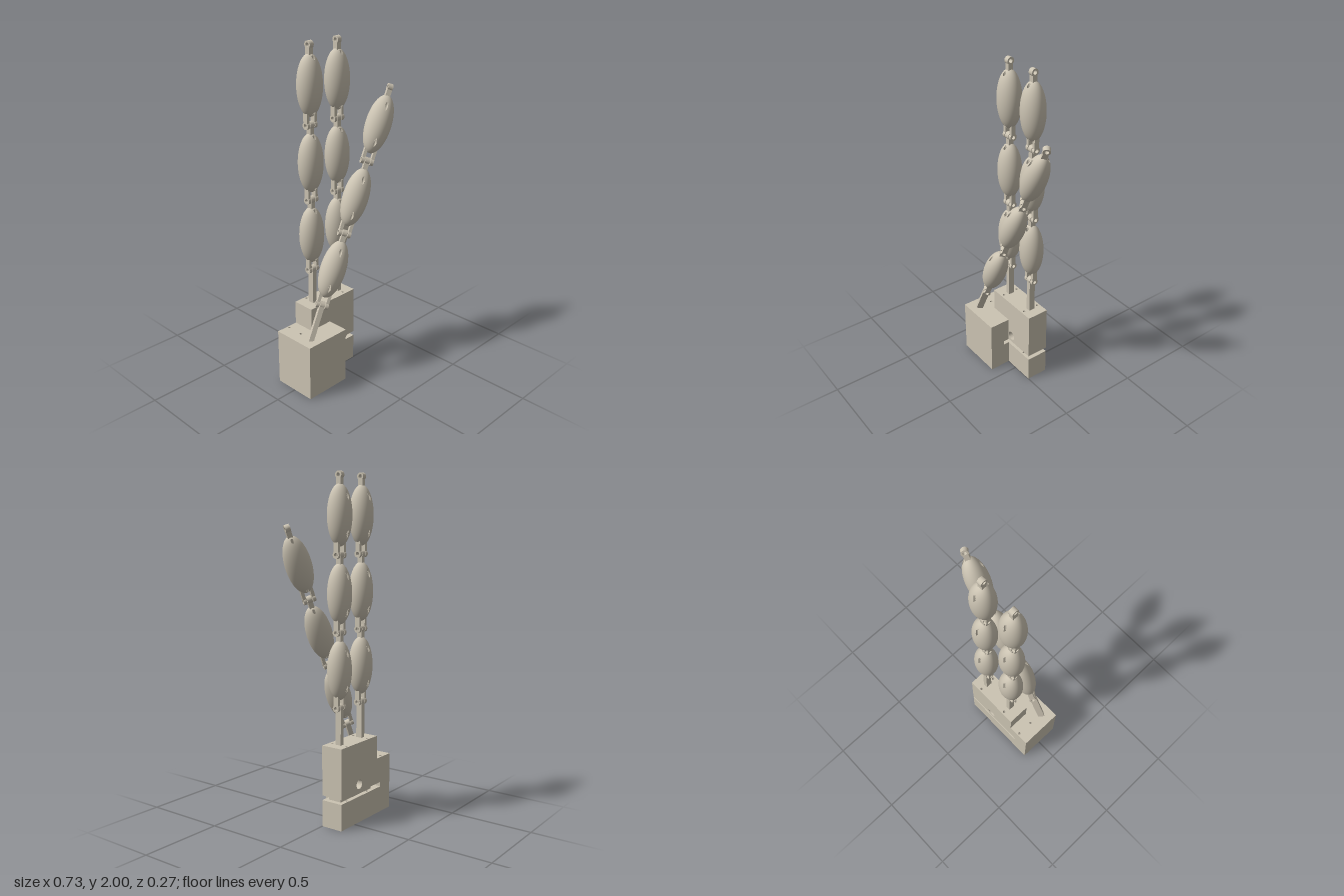
import * as THREE from 'three';

const putty = new THREE.MeshStandardMaterial({ color: 0xcbc3b2, side: THREE.DoubleSide });
putty.name = 'putty';

const PITCH = 0.428;                    // pivot to pivot
const A = 0.074, B = 0.067, C = 0.169;  // phalanx half sizes in x, z, y
const R = 0.021, PIN = 0.011, CORD = 0.008;
const CORD_Z = [-0.051, 0.031];         // cord channels through a phalanx

function mesh(geometry, name, parent) {
  const m = new THREE.Mesh(geometry, putty);
  m.name = name;
  parent.add(m);
  return m;
}

// Height of the phalanx surface above its middle
const surfaceY = (x, z) => C * Math.sqrt(Math.max(0, 1 - (x / A) ** 2 - (z / B) ** 2));

// Ellipsoid whose vertices are pushed aside to open the cord channels
function podGeometry() {
  const g = new THREE.SphereGeometry(1, 80, 56);
  const p = g.attributes.position, n = g.attributes.normal;
  const v = new THREE.Vector3();
  for (let i = 0; i < p.count; i++) {
    let x = p.getX(i) * A, y = p.getY(i) * C, z = p.getZ(i) * B;
    for (const cz of CORD_Z) {
      const d = Math.hypot(x, z - cz);
      if (d < 2 * CORD) {
        const k = (CORD + d / 2) / Math.max(d, 1e-6);
        x *= k;
        z = cz + (z - cz) * k;
        y = Math.sign(y) * surfaceY(x, z);
      }
    }
    p.setXYZ(i, x, y, z);
    v.set(x / A ** 2, y / C ** 2, z / B ** 2).normalize();
    n.setXYZ(i, v.x, v.y, v.z);
  }
  const old = g.index.array, kept = [];
  for (let i = 0; i < old.length; i += 3) {
    const t = [old[i], old[i + 1], old[i + 2]];
    const x = t.reduce((s, j) => s + p.getX(j), 0) / 3;
    const z = t.reduce((s, j) => s + p.getZ(j), 0) / 3;
    if (CORD_Z.every(cz => Math.hypot(x, z - cz) > CORD * 0.85)) kept.push(...t);
  }
  g.setIndex(kept);
  return g;
}

// Channel wall, trimmed to the phalanx surface
function channelGeometry(cz) {
  const g = new THREE.CylinderGeometry(CORD, CORD, 1, 20, 1, true).translate(0, 0, cz);
  const p = g.attributes.position;
  for (let i = 0; i < p.count; i++) {
    p.setY(i, Math.sign(p.getY(i)) * surfaceY(p.getX(i), p.getZ(i)));
  }
  return g;
}

// Bar hanging below a drilled round end; the pin axis runs along x
function eyeBar(length, halfWidth, thickness) {
  const a = Math.acos(halfWidth / R);
  const s = new THREE.Shape();
  s.moveTo(-halfWidth, -length);
  s.lineTo(halfWidth, -length);
  s.absarc(0, 0, R, -a, Math.PI + a, false);
  s.closePath();
  s.holes.push(new THREE.Path().absarc(0, 0, PIN, 0, Math.PI * 2, true));
  return new THREE.ExtrudeGeometry(s, { depth: thickness, bevelEnabled: false, curveSegments: 20 })
    .translate(0, 0, -thickness / 2).rotateY(Math.PI / 2);
}

const pod = podGeometry();
const channels = CORD_Z.map(channelGeometry);
const lug = eyeBar(0.09, 0.015, 0.028);
const prong = eyeBar(0.1, 0.015, 0.018).rotateX(Math.PI);

// Finger with its first pivot at the origin, pointing up
function makeFinger(name, stemLength) {
  const finger = new THREE.Group();
  finger.name = name;
  mesh(eyeBar(stemLength, 0.019, 0.028), 'stem', finger);
  for (let i = 0; i < 3; i++) {
    const phalanx = new THREE.Group();
    phalanx.name = 'phalanx' + (i + 1);
    phalanx.position.y = i * PITCH;
    mesh(pod, 'pod', phalanx).position.y = PITCH / 2;
    for (const c of channels) mesh(c, 'cordChannel', phalanx).position.y = PITCH / 2;
    for (const side of [-1, 1]) mesh(prong, 'forkProng', phalanx).position.x = side * 0.027;
    mesh(lug, 'lug', phalanx).position.y = PITCH;
    finger.add(phalanx);
  }
  return finger;
}

// Horizontal slab from an x,z outline with vertical cord holes
function slab(outline, y0, y1, holes, name, parent) {
  const s = new THREE.Shape(outline.map(([x, z]) => new THREE.Vector2(x, -z)));
  for (const [x, z] of holes) {
    s.holes.push(new THREE.Path().absarc(x, -z, CORD, 0, Math.PI * 2, true));
  }
  const g = new THREE.ExtrudeGeometry(s, { depth: y1 - y0, bevelEnabled: false, curveSegments: 10 });
  mesh(g.rotateX(-Math.PI / 2).translate(0, y0, 0), name, parent);
}
const rect = (x0, x1, z0, z1) => [[x0, z0], [x1, z0], [x1, z1], [x0, z1]];

function makeBase() {
  const base = new THREE.Group();
  base.name = 'base';
  const L = -0.365, M = -0.075, E = 0.13, back = -0.135, front = 0.132;
  const slot0 = 0.157, slot1 = 0.185, step = 0.34, top = 0.48;
  const thumbHoles = [[-0.29, -0.119], [-0.29, -0.02]];
  const holes1 = [[-0.148, -0.119], [-0.148, -0.02]];
  const holes2 = [[0.057, -0.119], [0.057, -0.02]];

  slab([[L, back], [E, back], [E, 0], [M, 0], [M, front], [L, front]],
    0, slot0, [...thumbHoles, ...holes1, ...holes2], 'lowerBlock', base);
  // Layer around the slot
  slab([[L, back], [-0.265, back], [-0.265, 0.037], [M, 0.037], [M, front], [L, front]],
    slot0, slot1, thumbHoles, 'slotWall', base);
  slab(rect(-0.2, 0.1, -0.108, -0.025), slot0, slot1, [], 'slotInsert', base);
  slab(rect(L, M, back, front), slot1, step, [...thumbHoles, ...holes1], 'thumbBlock', base);
  slab(rect(0, E, back, 0), slot1, step, holes2, 'sideBlock', base);
  slab(rect(-0.225, E, back, 0), step, top, [...holes1, ...holes2], 'upperBlock', base);

  // Middle piece with the round cross hole
  const s = new THREE.Shape([[M, slot1], [0, slot1], [0, step], [M, step]]
    .map(([x, y]) => new THREE.Vector2(x, y)));
  s.holes.push(new THREE.Path().absarc(-0.046, 0.23, 0.028, 0, Math.PI * 2, true));
  mesh(new THREE.ExtrudeGeometry(s, { depth: -back, bevelEnabled: false, curveSegments: 24 })
    .translate(0, 0, back), 'crossHoleBlock', base);
  return base;
}

export function createModel() {
  const model = new THREE.Group();
  model.name = 'roboticHand';
  model.add(makeBase());

  // Two upright fingers
  [-0.148, 0.057].forEach((x, i) => {
    const f = makeFinger('finger' + (i + 1), 0.23);
    f.position.set(x, 0.695, -0.068);
    model.add(f);
  });

  // Leaning thumb, rolled about its own length
  const thumb = makeFinger('thumb', 0.222);
  thumb.rotation.set(0, THREE.MathUtils.degToRad(145), THREE.MathUtils.degToRad(-25), 'ZYX');
  thumb.position.set(-0.204, 0.531, 0.067);
  model.add(thumb);
  return model;
}
